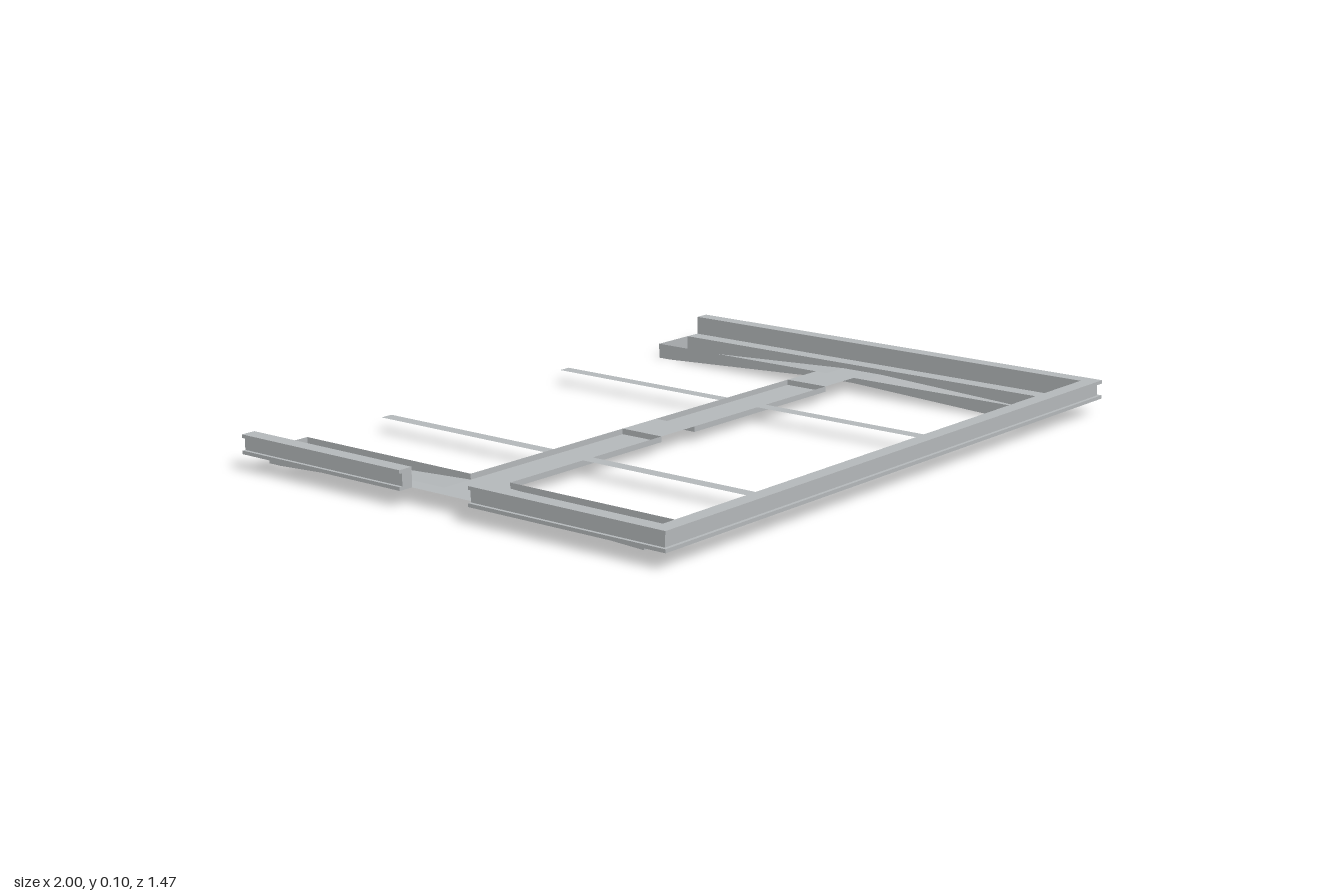
import * as THREE from 'three';

const TOP = 0.045; // level of the flat deck
const BACK = -0.735, FRONT = 0.735;

export function createModel() {
  const group = new THREE.Group();
  const metal = new THREE.MeshStandardMaterial({ color: 0xb4b8ba, side: THREE.DoubleSide });
  metal.name = 'galvanised grey';

  const add = (name, tris) => {
    const geo = new THREE.BufferGeometry();
    geo.setAttribute('position', new THREE.Float32BufferAttribute(tris.flat(), 3));
    geo.computeVertexNormals();
    const mesh = new THREE.Mesh(geo, metal);
    mesh.name = name;
    group.add(mesh);
  };
  const quad = (a, b, c, d) => [a, b, c, a, c, d];
  // Level sheet facing up
  const sheet = (x0, x1, z0, z1, y = TOP) =>
    quad([x0, y, z0], [x0, y, z1], [x1, y, z1], [x1, y, z0]);

  // Grooved edge rail: profile of [inset, height], swept with mitred corners
  const profile = [[0, 0.045], [0, 0.055], [0.01, 0.055], [0.01, 0.09],
    [0, 0.09], [0, 0.1], [0.045, 0.1], [0.045, 0.045]];
  const capFaces = THREE.ShapeUtils.triangulateShape(profile.map(p => new THREE.Vector2(...p)), []);
  const rail = (name, path) => {
    const rings = path.map(at => profile.map(([d, y]) => {
      const [x, z] = at(d);
      return [x, y, z];
    }));
    const tris = [];
    for (let i = 0; i + 1 < rings.length; i++) {
      const a = rings[i], b = rings[i + 1];
      a.forEach((p, k) => {
        const n = (k + 1) % a.length;
        tris.push(...quad(p, b[k], b[n], a[n]));
      });
    }
    capFaces.forEach(([i, j, k]) => {
      const s = rings[0], e = rings[rings.length - 1];
      tris.push(s[i], s[j], s[k], e[k], e[j], e[i]);
    });
    add(name, tris);
  };
  rail('edgeRail', [d => [-1 + d, 0.095], d => [-1 + d, FRONT - d],
    d => [1 - d, FRONT - d], d => [1 - d, BACK]]);
  rail('rightRearRail', [d => [-1 + d, BACK], d => [-1 + d, -0.145]]);

  // Side troughs with floors that slope down from the middle
  const IN = 0.762, OUT = 0.905;
  const floor = [[0.59, 0.003], [0.02, 0.029], [-0.12, 0.029], [-0.69, 0], [BACK, 0]];
  for (const s of [-1, 1]) {
    const side = s < 0 ? 'right' : 'left';
    const bed = [], inner = [], outer = [];
    floor.slice(0, -1).forEach(([z0, y0], i) => {
      const [z1, y1] = floor[i + 1];
      const wall = x => quad([x, y0, z0], [x, y1, z1], [x, TOP, z1], [x, TOP, z0]);
      if (i < 3) {
        const strip = quad([s * IN, y0, z0], [s * OUT, y0, z0], [s * OUT, y1, z1], [s * IN, y1, z1]);
        bed.push(...(s > 0 ? strip : strip.reverse()));
      }
      outer.push(...wall(s * OUT));
      // the right trough opens into the cross trough
      if (!(s < 0 && i === 1)) inner.push(...wall(s * IN));
    });
    add(side + 'TroughFloor', bed);
    add(side + 'TroughOuterWall', outer);
    add(side + 'TroughInnerWall', inner);
    for (const [z, y] of [floor[0], floor[4]])
      add(side + 'TroughEndWall', quad([s * IN, y, z], [s * OUT, y, z], [s * OUT, TOP, z], [s * IN, TOP, z]));

    // Ledge beside the trough and deck in front of it
    const span = (a, b) => [Math.min(s * a, s * b), Math.max(s * a, s * b)];
    add(side + 'Ledge', sheet(...span(OUT, 0.955), BACK, 0.69));
    add(side + 'FrontDeck', sheet(...span(IN, OUT), 0.59, 0.69));
  }

  // Cross member: two shallow troughs and two level plates
  const Z0 = -0.12, Z1 = 0.02, LOW = 0.029;
  for (const [x0, x1, ends] of [[-IN, -0.145, [-0.145]], [0, 0.62, [0, 0.62]]]) {
    const tris = sheet(x0, x1, Z0, Z1, LOW);
    for (const z of [Z0, Z1])
      tris.push(...quad([x0, LOW, z], [x1, LOW, z], [x1, TOP, z], [x0, TOP, z]));
    for (const x of ends)
      tris.push(...quad([x, LOW, Z0], [x, LOW, Z1], [x, TOP, Z1], [x, TOP, Z0]));
    add('crossTrough', tris);
  }
  for (const [x0, x1] of [[-0.145, 0], [0.62, IN]]) add('crossPlate', sheet(x0, x1, Z0, Z1));

  // Narrow strips running front to back, broken at the cross member
  for (const x of [-0.455, 0.308])
    for (const [z0, z1] of [[BACK, Z0], [Z1, 0.69]])
      add('narrowStrip', sheet(x - 0.02, x + 0.02, z0, z1));

  return group;
}
